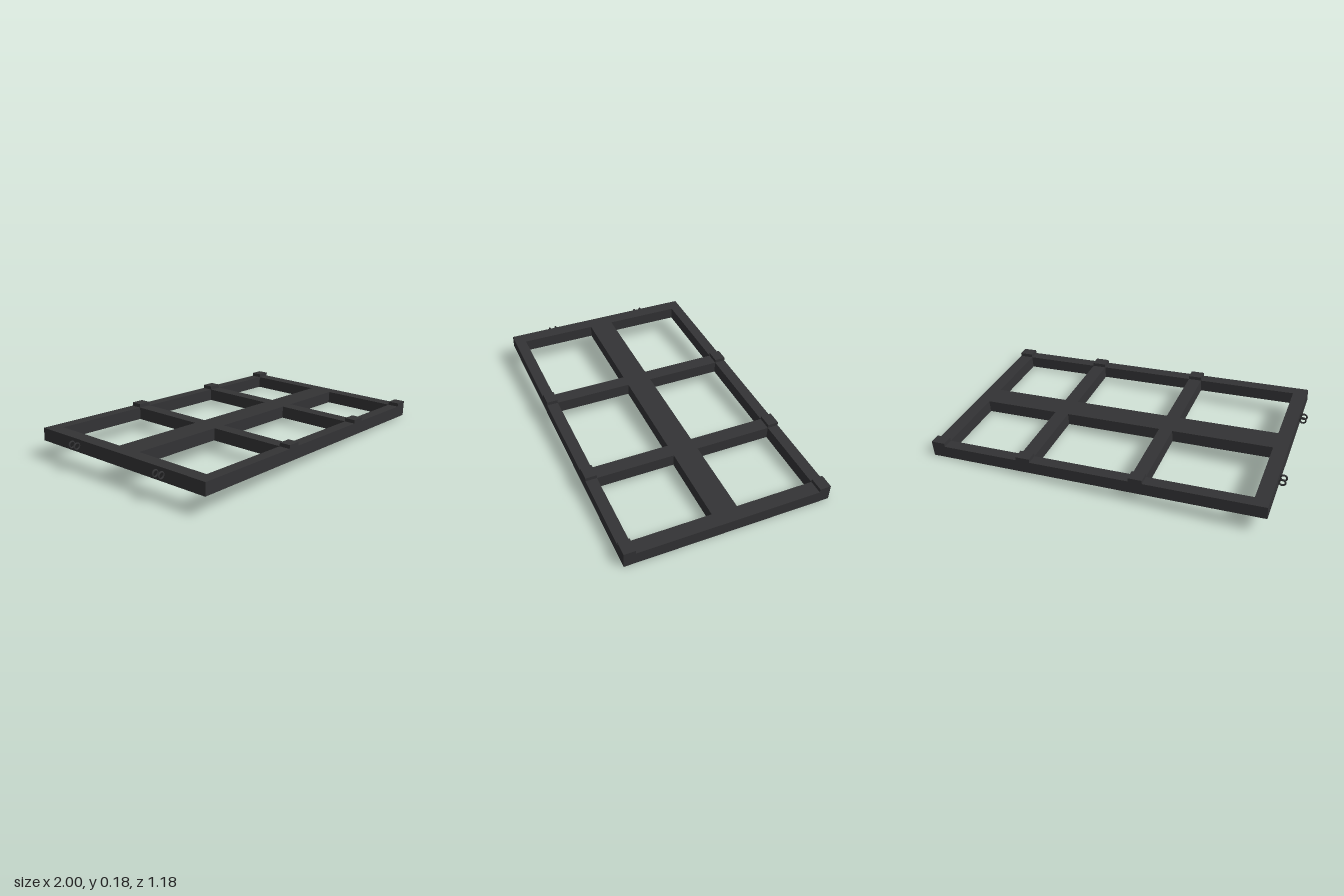
import * as THREE from 'three';

export function createModel() {
  const model = new THREE.Group();
  const material = new THREE.MeshStandardMaterial({ color: 0x333335 });
  const length = 1.956, halfDepth = 0.59, thickness = 0.072;
  const railInner = 0.525, beamHalf = 0.073;

  // The whole panel leans down towards +x
  const panel = new THREE.Group();
  panel.name = 'slopedPanel';
  panel.position.set(0.0205, 0.0925, 0);
  panel.rotation.z = -0.0573;
  model.add(panel);

  const add = (name, geometry, x, y, z) => {
    const mesh = new THREE.Mesh(geometry, material);
    mesh.name = name;
    mesh.position.set(x, y, z);
    panel.add(mesh);
  };

  // Frame with side rails, centre beam and cross bars around six openings
  const rectangle = (path, x0, x1, z0, z1) =>
    path.moveTo(x0, z0).lineTo(x1, z0).lineTo(x1, z1).lineTo(x0, z1).closePath();
  const outline = new THREE.Shape();
  rectangle(outline, -length / 2, length / 2, -halfDepth, halfDepth);
  for (const [x0, x1] of [[-0.897, -0.312], [-0.232, 0.35], [0.434, 0.895]]) {
    for (const [z0, z1] of [[-railInner, -beamHalf], [beamHalf, railInner]]) {
      const hole = new THREE.Path();
      rectangle(hole, x0, x1, z0, z1);
      outline.holes.push(hole);
    }
  }
  const frame = new THREE.ExtrudeGeometry(outline, { depth: thickness, bevelEnabled: false });
  frame.rotateX(-Math.PI / 2);
  add('frame', frame, 0, -thickness / 2, 0);

  // Raised blocks on the side rails, and hinge rings on the upper end
  const blockHeight = 0.021, blockDepth = halfDepth - railInner;
  for (const side of [-1, 1]) {
    for (const [x0, x1] of [[-0.312, -0.232], [0.35, 0.434], [0.895, length / 2]]) {
      add('railBlock', new THREE.BoxGeometry(x1 - x0, blockHeight, blockDepth),
        (x0 + x1) / 2, (thickness + blockHeight) / 2, side * (halfDepth - blockDepth / 2));
    }
    for (const z of [0.288, 0.328]) {
      add('hingeRing', new THREE.TorusGeometry(0.017, 0.005, 10, 28), -1.0, 0.005, side * z);
    }
  }
  return model;
}
